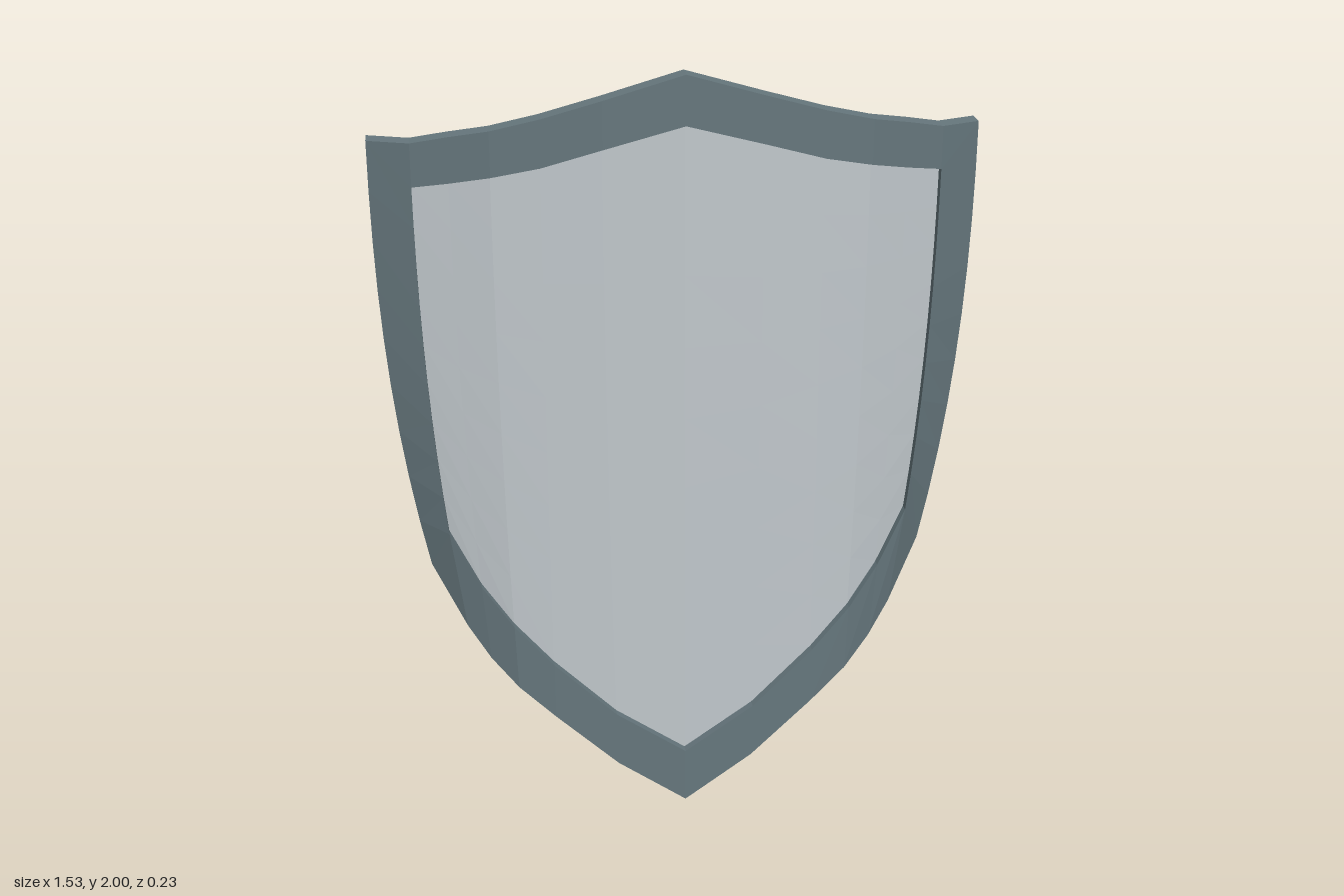
import * as THREE from 'three';

const THICK = 0.055;   // front face to back face
const RECESS = 0.025;  // panel sits this far behind the rim
const ROWS = 9;

// Vertical staves of one half, centre to edge:
// x at top, x at bottom, z, outer top y, inner top y, inner bottom y, outer bottom y
const STAVES = [
  [0, 0, 0.115, 2.0, 1.875, 0.15, 0.0],
  [0.2, 0.18, 0.104, 1.94, 1.82, 0.27, 0.12],
  [0.35, 0.345, 0.085, 1.895, 1.775, 0.42, 0.265],
  [0.47, 0.44, 0.065, 1.865, 1.75, 0.53, 0.35],
  [0.57, 0.51, 0.03, 1.845, 1.73, 0.635, 0.425],
  [0.66, 0.568, 0.0, 1.825, 1.715, 0.78, 0.51],
  [0.765, 0.655, -0.058, 1.82, 0, 0, 0.67],
];
const EDGE = STAVES.length - 1;
const INNER = EDGE - 1;

// Point on stave i (negative = mirrored side) at height y, dz off the front face
function point(i, y, dz) {
  const [xt, xb, z, top, , , bottom] = STAVES[Math.abs(i)];
  const t = (top - y) / (top - bottom);
  const x = xt + (xb - xt) * Math.pow(Math.max(t, 0), 2.3);
  return new THREE.Vector3(i < 0 ? -x : x, y, z + dz);
}

// Skin between successive cross-sections of equal length
function loft(sections) {
  const pos = [];
  const tri = (a, b, c) => {
    const area = b.clone().sub(a).cross(c.clone().sub(a)).length();
    if (area > 1e-7) for (const p of [a, b, c]) pos.push(p.x, p.y, p.z);
  };
  for (let s = 0; s < sections.length - 1; s++) {
    const A = sections[s], B = sections[s + 1];
    for (let k = 0; k < A.length - 1; k++) {
      tri(A[k], A[k + 1], B[k + 1]);
      tri(A[k], B[k + 1], B[k]);
    }
  }
  const g = new THREE.BufferGeometry();
  g.setAttribute('position', new THREE.Float32BufferAttribute(pos, 3));
  g.computeVertexNormals();
  return g;
}

// Curved sheet of staves -n..n, top and bottom heights taken from the given fields
function sheet(n, topField, bottomField, dz) {
  const sections = [];
  for (let i = -n; i <= n; i++) {
    const s = STAVES[Math.abs(i)], col = [];
    for (let r = 0; r <= ROWS; r++) {
      col.push(point(i, THREE.MathUtils.lerp(s[topField], s[bottomField], r / ROWS), dz));
    }
    sections.push(col);
  }
  return sections;
}

// Closed outline, clockwise from the front; inner and outer have matching points
function outline(inner, dz) {
  const side = inner ? INNER : EDGE;
  const [topF, botF] = inner ? [4, 5] : [3, 6];
  const clampI = (i) => Math.sign(i) * Math.min(Math.abs(i), side);
  const at = (i, f) => point(clampI(i), STAVES[Math.abs(clampI(i))][f], dz);
  const pts = [];
  for (let i = -EDGE; i <= EDGE; i++) pts.push(at(i, topF));
  const s = STAVES[side];
  const rowY = (r) => THREE.MathUtils.lerp(s[topF], s[botF], r / ROWS);
  for (let r = 1; r < ROWS; r++) pts.push(point(side, rowY(r), dz));
  for (let i = EDGE; i >= -EDGE; i--) pts.push(at(i, botF));
  for (let r = ROWS - 1; r >= 0; r--) pts.push(point(-side, rowY(r), dz));
  return pts;
}

export function createModel() {
  const steel = new THREE.MeshStandardMaterial({ color: 0xc1c8cc });
  const rim = new THREE.MeshStandardMaterial({ color: 0x66777d });
  steel.name = 'pale steel';
  rim.name = 'dark rim steel';
  for (const m of [steel, rim]) m.flatShading = true;

  const group = new THREE.Group();
  group.name = 'shield';
  const add = (name, sections, material) => {
    const mesh = new THREE.Mesh(loft(sections), material);
    mesh.name = name;
    group.add(mesh);
  };

  // Recessed front panel and full back
  add('frontPanel', sheet(INNER, 4, 5, -RECESS), steel);
  add('backPanel', sheet(EDGE, 3, 6, -THICK).reverse(), steel);

  // Rim: inner wall up from the panel, front band, then outer wall to the back
  add('rim', [
    outline(true, -RECESS),
    outline(true, 0),
    outline(false, 0),
    outline(false, -THICK),
  ], rim);

  return group;
}
